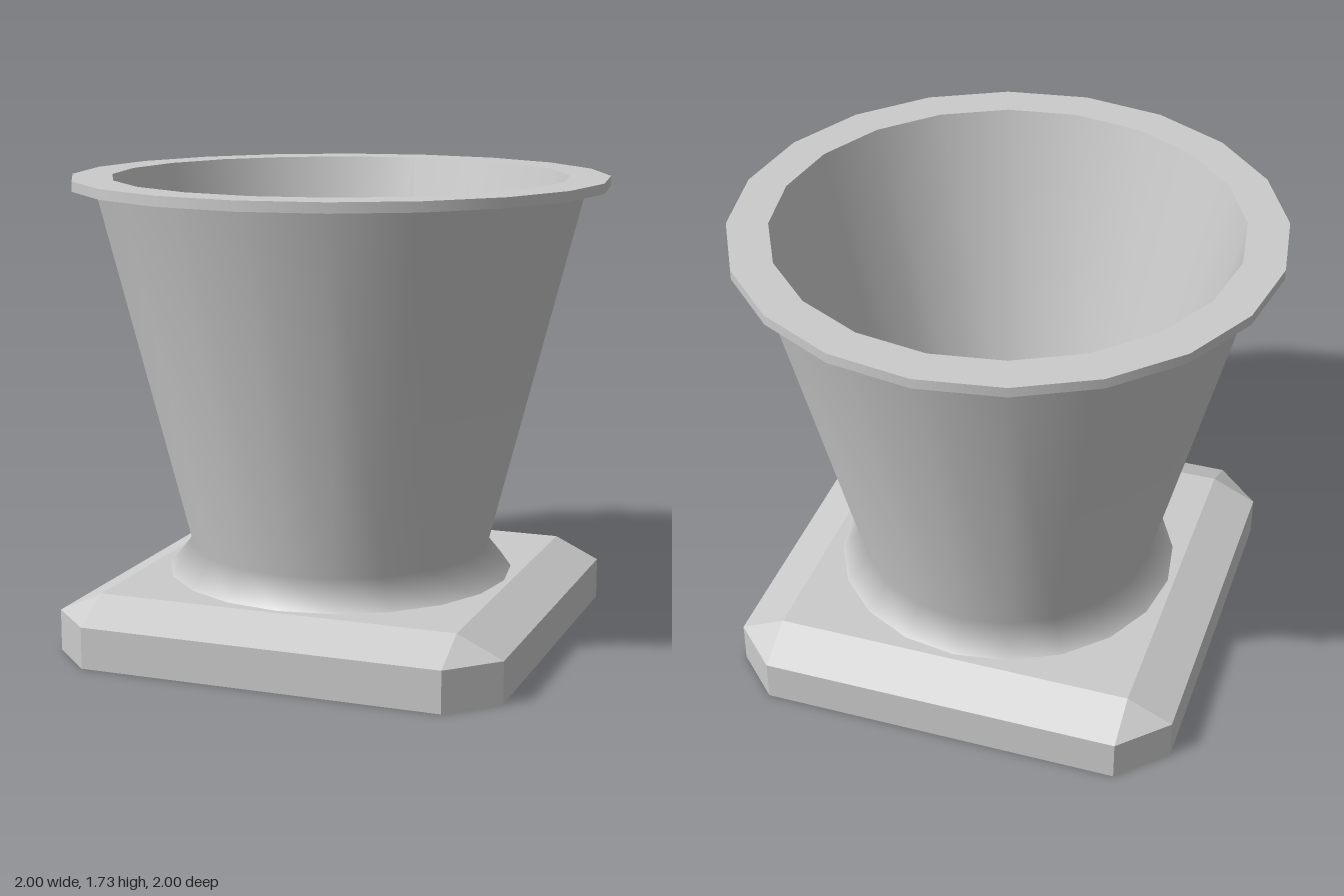
import * as THREE from 'three';

const SIDES = 20;
const material = new THREE.MeshStandardMaterial({ color: 0xcccccc });

// Revolves one smooth stretch of profile; separate stretches meet at sharp edges.
function turned(name, profile) {
  const points = profile.map(([r, y]) => new THREE.Vector2(r, y));
  const mesh = new THREE.Mesh(new THREE.LatheGeometry(points, SIDES), material);
  mesh.name = name;
  return mesh;
}

// Square with cut corners, counter-clockwise seen from above.
function cutSquare(half, cut, y) {
  const ring = [];
  for (let i = 0; i < 4; i++) {
    const turn = (i * Math.PI) / 2;
    for (const [x, z] of [[half, cut], [half, -cut]]) {
      ring.push(new THREE.Vector3(x, y, z).applyAxisAngle(new THREE.Vector3(0, 1, 0), turn));
    }
  }
  return ring;
}

// Joins the rings with flat faces and caps both ends.
function loft(rings) {
  const pos = [];
  const tri = (a, b, c) => {
    const area = b.clone().sub(a).cross(c.clone().sub(a)).length();
    if (area > 1e-6) for (const p of [a, b, c]) pos.push(p.x, p.y, p.z);
  };
  for (let k = 0; k < rings.length - 1; k++) {
    const lo = rings[k], hi = rings[k + 1];
    for (let i = 0; i < lo.length; i++) {
      const j = (i + 1) % lo.length;
      tri(lo[i], lo[j], hi[j]);
      tri(lo[i], hi[j], hi[i]);
    }
  }
  const bottom = rings[0], top = rings[rings.length - 1];
  for (let i = 1; i < top.length - 1; i++) {
    tri(top[0], top[i], top[i + 1]);
    tri(bottom[0], bottom[i + 1], bottom[i]);
  }
  const geometry = new THREE.BufferGeometry();
  geometry.setAttribute('position', new THREE.Float32BufferAttribute(pos, 3));
  geometry.computeVertexNormals();
  return geometry;
}

export function createModel() {
  const model = new THREE.Group();
  model.name = 'planter';

  // Square plinth: cut corners below, bevelled up to a plain square
  const plinth = new THREE.Mesh(
    loft([cutSquare(0.85, 0.68, 0), cutSquare(0.85, 0.68, 0.155), cutSquare(0.68, 0.68, 0.235)]),
    material
  );
  plinth.name = 'plinth';
  model.add(plinth);

  // Flared foot, neck and tapered outer wall
  model.add(turned('outerWall', [[0.655, 0.235], [0.57, 0.34], [0.914, 1.693]]));

  // Flat projecting rim
  const rim = new THREE.Group();
  rim.name = 'rim';
  rim.add(
    turned('rimUnderside', [[0.914, 1.693], [1, 1.693]]),
    turned('rimEdge', [[1, 1.693], [1, 1.73]]),
    turned('rimTop', [[1, 1.73], [0.85, 1.73]])
  );
  model.add(rim);

  // Hollow inside
  model.add(turned('innerWall', [[0.85, 1.73], [0.53, 0.42]]));
  model.add(turned('innerFloor', [[0.53, 0.42], [0, 0.42]]));

  return model;
}
